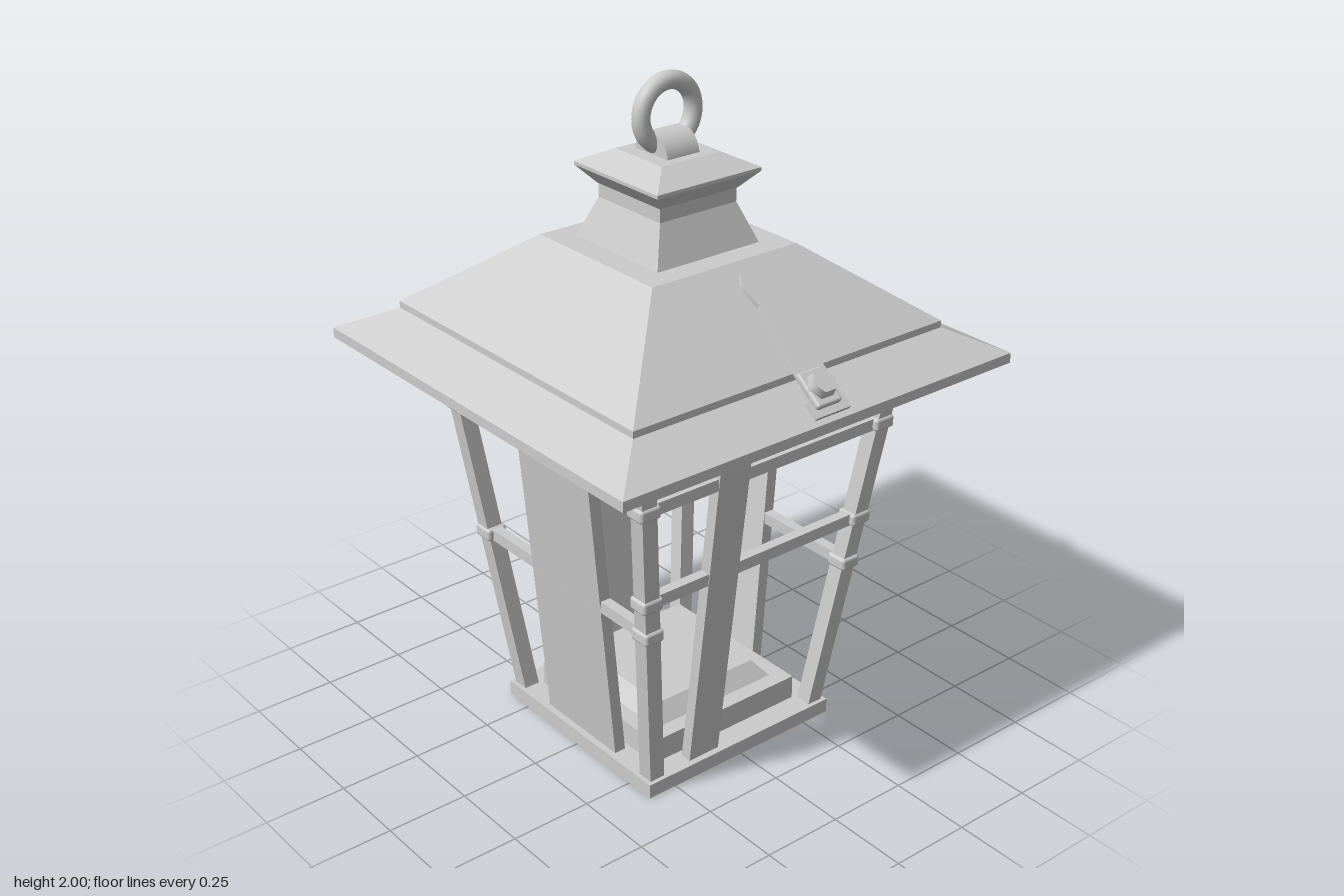
import * as THREE from 'three';
import { RoundedBoxGeometry } from 'three/addons/geometries/RoundedBoxGeometry.js';

const mat = new THREE.MeshStandardMaterial({ color: 0xcccccc });

function add(parent, name, geo, x = 0, y = 0, z = 0) {
  const m = new THREE.Mesh(geo, mat);
  m.name = name;
  m.position.set(x, y, z);
  parent.add(m);
  return m;
}

// Solid through stacked rectangles [y, halfX, halfZ, centreX, centreZ], bottom to top
function loft(rings) {
  const r = rings.map(([y, hx, hz, cx = 0, cz = 0]) =>
    [[-1, 1], [1, 1], [1, -1], [-1, -1]].map(([a, b]) => [cx + a * hx, y, cz + b * hz]));
  const p = [];
  const quad = (a, b, c, d) => p.push(...a, ...b, ...c, ...a, ...c, ...d);
  for (let k = 0; k < r.length - 1; k++)
    for (let i = 0; i < 4; i++) {
      const j = (i + 1) % 4;
      quad(r[k][i], r[k][j], r[k + 1][j], r[k + 1][i]);
    }
  const t = r[r.length - 1], b = r[0];
  quad(t[0], t[1], t[2], t[3]);
  quad(b[3], b[2], b[1], b[0]);
  const g = new THREE.BufferGeometry();
  g.setAttribute('position', new THREE.Float32BufferAttribute(p, 3));
  g.computeVertexNormals();
  return g;
}

// Flat plate lying in XZ, thickness along +y
function plate(shape, depth) {
  return new THREE.ExtrudeGeometry(shape, { depth, bevelEnabled: false, curveSegments: 10 }).rotateX(-Math.PI / 2);
}

// Distance of the tapering posts from the axis at height y
const lean = (y) => 0.307 + 0.14 * (y - 0.045) / 1.145;

export function createModel() {
  const root = new THREE.Group();
  root.name = 'lantern';

  // Base and stepped inner tray
  add(root, 'base', loft([[0, 0.345, 0.345], [0.045, 0.345, 0.345]]));
  add(root, 'tray', loft([[0.045, 0.27, 0.27], [0.12, 0.27, 0.27], [0.12, 0.22, 0.22], [0.17, 0.18, 0.18]]));

  // Leaning corner posts
  const b = lean(0.04), t = lean(1.19);
  for (const sx of [-1, 1]) for (const sz of [-1, 1])
    add(root, 'cornerPost', loft([[0.04, 0.025, 0.025, sx * b, sz * b], [1.19, 0.025, 0.025, sx * t, sz * t]]));

  // Rail under the roof
  for (const s of [-1, 1]) {
    add(root, 'topRail', new THREE.BoxGeometry(0.9, 0.05, 0.05), 0, 1.165, s * 0.442);
    add(root, 'topRail', new THREE.BoxGeometry(0.05, 0.05, 0.85), s * 0.442, 1.165, 0);
  }

  // Upright slats on each side: [name, axis, side, bottom centre, top centre, half width]
  const slats = [
    ['frontSlat', 'z', 1, -0.003, 0.052, 0.161],
    ['backSlat', 'z', -1, 0.008, -0.05, 0.055],
    ['leftSlat', 'x', 1, 0.127, 0.127, 0.054],
    ['rightSlat', 'x', -1, -0.115, -0.115, 0.097],
  ];
  for (const [name, axis, s, c0, c1, h] of slats) {
    const ring = (y, c) => axis === 'z'
      ? [y, h, 0.018, c, s * lean(y)]
      : [y, 0.018, h, s * lean(y), c];
    add(root, name, loft([ring(0.04, c0), ring(1.19, c1)]));
  }

  // Cross bars with a collar around each post: [axis, side, height]
  for (const [axis, s, y] of [['z', 1, 0.58], ['z', -1, 0.54], ['x', 1, 1.0], ['x', 1, 0.69], ['x', -1, 1.0]]) {
    const g = new THREE.Group();
    g.name = 'crossBar';
    const d = lean(y);
    add(g, 'bar', new THREE.BoxGeometry(2 * d, 0.036, 0.032), 0, 0, d);
    for (const e of [-1, 1])
      add(g, 'collar', new RoundedBoxGeometry(0.07, 0.04, 0.066, 2, 0.01), e * d, 0, d);
    g.position.y = y;
    g.rotation.y = axis === 'z' ? (s > 0 ? 0 : Math.PI) : s * Math.PI / 2;
    root.add(g);
  }

  // Two-step hipped roof, chimney and cap
  add(root, 'roof', loft([[1.19, 0.67, 0.683], [1.22, 0.67, 0.683], [1.29, 0.532, 0.542],
    [1.31, 0.532, 0.542], [1.525, 0.248, 0.252]]));
  add(root, 'chimney', loft([[1.52, 0.18, 0.18], [1.64, 0.133, 0.133], [1.69, 0.133, 0.133]]));
  add(root, 'cap', loft([[1.68, 0.135, 0.135], [1.73, 0.18, 0.18], [1.74, 0.18, 0.18], [1.78, 0.1, 0.1]]));

  // Hanging ring and its lug
  add(root, 'ringLug', new THREE.CylinderGeometry(0.07, 0.07, 0.11, 24).rotateX(Math.PI / 2), 0, 1.772, 0);
  add(root, 'hangingRing', new THREE.TorusGeometry(0.09, 0.026, 14, 40).rotateY(Math.PI / 2), 0, 1.884, 0);

  // Latch strap running down the left roof slope, with its bolt
  const latch = new THREE.Group();
  latch.name = 'latch';
  const strap = new THREE.Shape();
  strap.moveTo(0.46, 0.075);
  strap.lineTo(0.4, 0.075);
  strap.lineTo(0.11, 0.07);
  strap.quadraticCurveTo(0.07, 0.085, 0.045, 0.085);
  strap.absarc(0.045, 0.035, 0.047, Math.PI / 2, Math.PI * 1.5, false);
  strap.quadraticCurveTo(0.07, -0.012, 0.11, -0.002);
  strap.lineTo(0.4, -0.03);
  strap.lineTo(0.41, -0.046);
  strap.lineTo(0.46, -0.046);
  add(latch, 'strap', plate(strap, 0.013));
  add(latch, 'washerPlate', new RoundedBoxGeometry(0.11, 0.022, 0.085, 2, 0.008), 0.385, 0.02, -0.008);
  add(latch, 'boltHead', new THREE.CylinderGeometry(0.036, 0.042, 0.03, 6).toNonIndexed(), 0.385, 0.042, -0.008);
  latch.position.set(0.29, 1.508, 0);
  latch.rotation.z = -Math.atan2(0.275, 0.365);
  root.add(latch);

  // Hinge on the right roof edge: notched upper leaf, two knuckles, lower leaf
  const hinge = new THREE.Group();
  hinge.name = 'hinge';
  const leaf = new THREE.Shape();
  leaf.moveTo(0, -0.18);
  leaf.lineTo(0.08, -0.18);
  leaf.quadraticCurveTo(0.12, -0.18, 0.125, -0.13);
  leaf.lineTo(0.125, 0.14);
  leaf.quadraticCurveTo(0.12, 0.19, 0.08, 0.19);
  leaf.lineTo(0, 0.19);
  leaf.lineTo(0, 0.1);
  leaf.lineTo(0.022, 0.1);
  leaf.lineTo(0.022, -0.09);
  leaf.lineTo(0, -0.09);
  const upper = add(hinge, 'upperLeaf', plate(leaf, 0.01), -0.545, 1.312, 0);
  upper.rotation.z = Math.atan2(0.215, 0.284);
  for (const z of [-0.14, 0.135])
    add(hinge, 'knuckle', new THREE.CylinderGeometry(0.014, 0.014, 0.085, 12).rotateX(Math.PI / 2), -0.548, 1.308, z);
  const lower = add(hinge, 'lowerLeaf', new THREE.BoxGeometry(0.13, 0.01, 0.36), -0.603, 1.262, -0.005);
  lower.rotation.z = Math.atan2(0.07, 0.138);
  root.add(hinge);

  return root;
}
